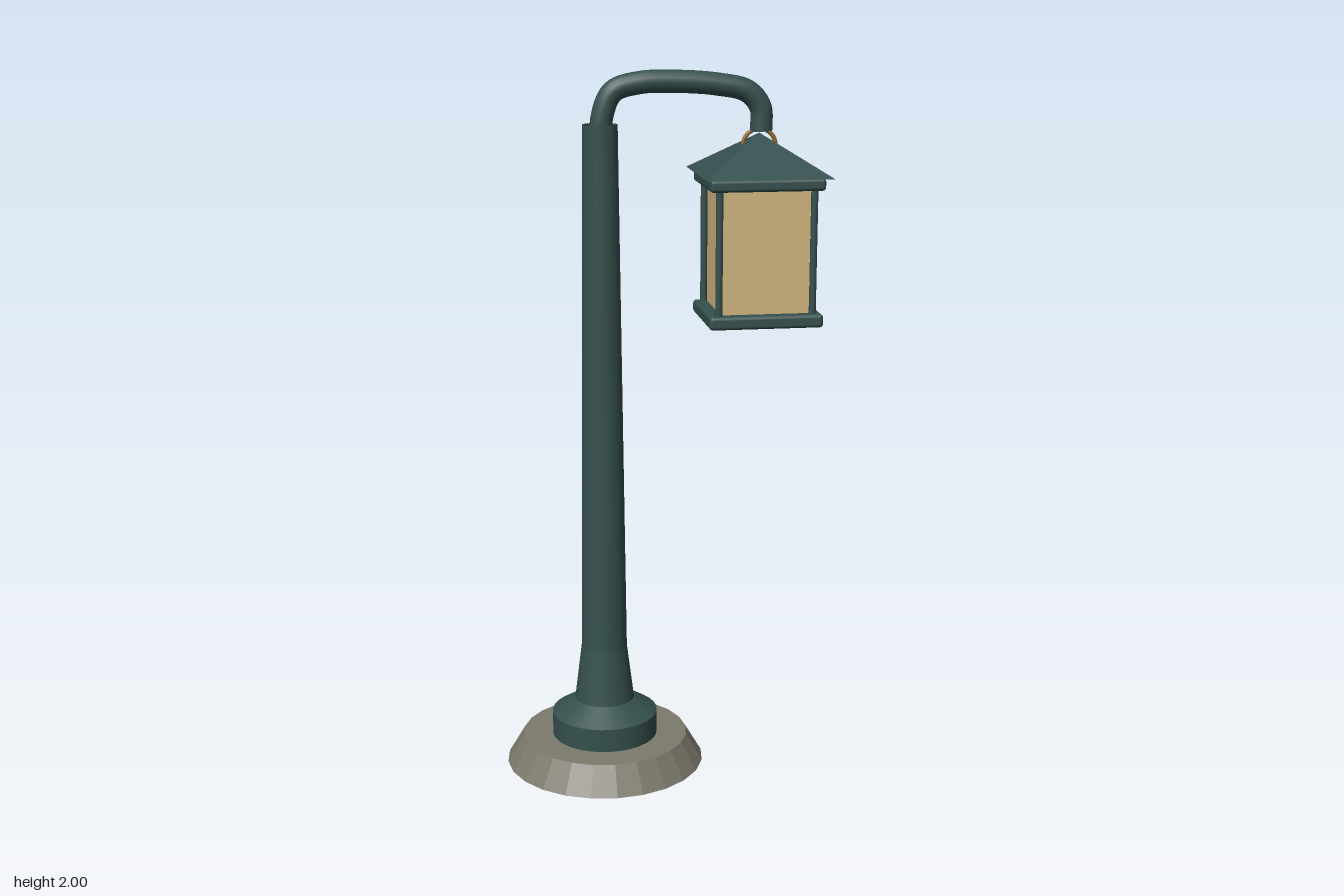
import * as THREE from 'three';
import { RoundedBoxGeometry } from 'three/addons/geometries/RoundedBoxGeometry.js';

export function createModel() {
  const root = new THREE.Group();
  root.name = 'streetLamp';

  const iron = new THREE.MeshStandardMaterial({ color: 0x35504e });
  const ironOpen = new THREE.MeshStandardMaterial({ color: 0x35504e, side: THREE.DoubleSide });
  const ironFlat = new THREE.MeshStandardMaterial({ color: 0x35504e, flatShading: true });
  const stone = new THREE.MeshStandardMaterial({ color: 0x7d7a6d, flatShading: true });
  const glass = new THREE.MeshStandardMaterial({ color: 0xd2b780 });
  const brass = new THREE.MeshStandardMaterial({ color: 0x9a7030 });

  const add = (parent, name, geometry, material, x = 0, y = 0, z = 0) => {
    const mesh = new THREE.Mesh(geometry, material);
    mesh.name = name;
    mesh.position.set(x, y, z);
    parent.add(mesh);
    return mesh;
  };

  const poleX = -0.165;
  const lampX = 0.275;

  // Tapered stone footing
  add(root, 'footing', new THREE.CylinderGeometry(0.24, 0.287, 0.08, 24), stone, poleX, 0.04);

  // Pole built as separate lathe bands, so the profile's edges stay crisp
  const pole = new THREE.Group();
  pole.name = 'pole';
  pole.position.x = poleX;
  root.add(pole);
  const profile = [
    [0.153, 0.08], [0.153, 0.148], [0.086, 0.19], [0.066, 0.35], [0.048, 1.853],
  ].map(([r, y]) => new THREE.Vector2(r, y));
  for (let i = 0; i < profile.length - 1; i++) {
    add(pole, 'poleSection', new THREE.LatheGeometry(profile.slice(i, i + 2), 32), ironOpen);
  }

  // Curved arm reaching over to the lantern
  const armPath = new THREE.CatmullRomCurve3([
    [-0.16, 1.78], [-0.16, 1.87], [-0.13, 1.94], [-0.06, 1.963], [0.04, 1.966],
    [0.16, 1.957], [0.24, 1.938], [0.277, 1.895], [0.28, 1.83],
  ].map(([x, y]) => new THREE.Vector3(x, y, 0)));
  add(root, 'arm', new THREE.TubeGeometry(armPath, 64, 0.031, 16), iron);
  // Cap closing the arm's free end
  add(root, 'armEnd', new THREE.CircleGeometry(0.031, 16), iron, 0.28, 1.83).rotation.x = Math.PI / 2;

  // Lantern
  const lantern = new THREE.Group();
  lantern.name = 'lantern';
  lantern.position.x = lampX;
  root.add(lantern);

  add(lantern, 'hangingRing', new THREE.TorusGeometry(0.046, 0.006, 8, 32), brass, 0, 1.79);

  // Four-sided roof, turned so its eaves run along x and z
  const roof = new THREE.ConeGeometry(0.174 * Math.SQRT2, 0.11, 4);
  roof.rotateY(Math.PI / 4);
  add(lantern, 'roof', roof, ironFlat, 0, 1.77);

  // Top and bottom frames
  add(lantern, 'topFrame', new RoundedBoxGeometry(0.318, 0.034, 0.284, 3, 0.01), iron, 0, 1.696);
  add(lantern, 'bottomFrame', new RoundedBoxGeometry(0.318, 0.037, 0.284, 3, 0.01), iron, 0, 1.321);

  // Corner posts
  const post = new THREE.CylinderGeometry(0.01, 0.01, 0.36, 12);
  for (const sx of [-1, 1]) {
    for (const sz of [-1, 1]) {
      add(lantern, 'cornerPost', post, iron, sx * 0.131, 1.51, sz * 0.12);
    }
  }

  // Glowing glass body
  add(lantern, 'glass', new THREE.BoxGeometry(0.246, 0.35, 0.222), glass, 0, 1.51);

  return root;
}
